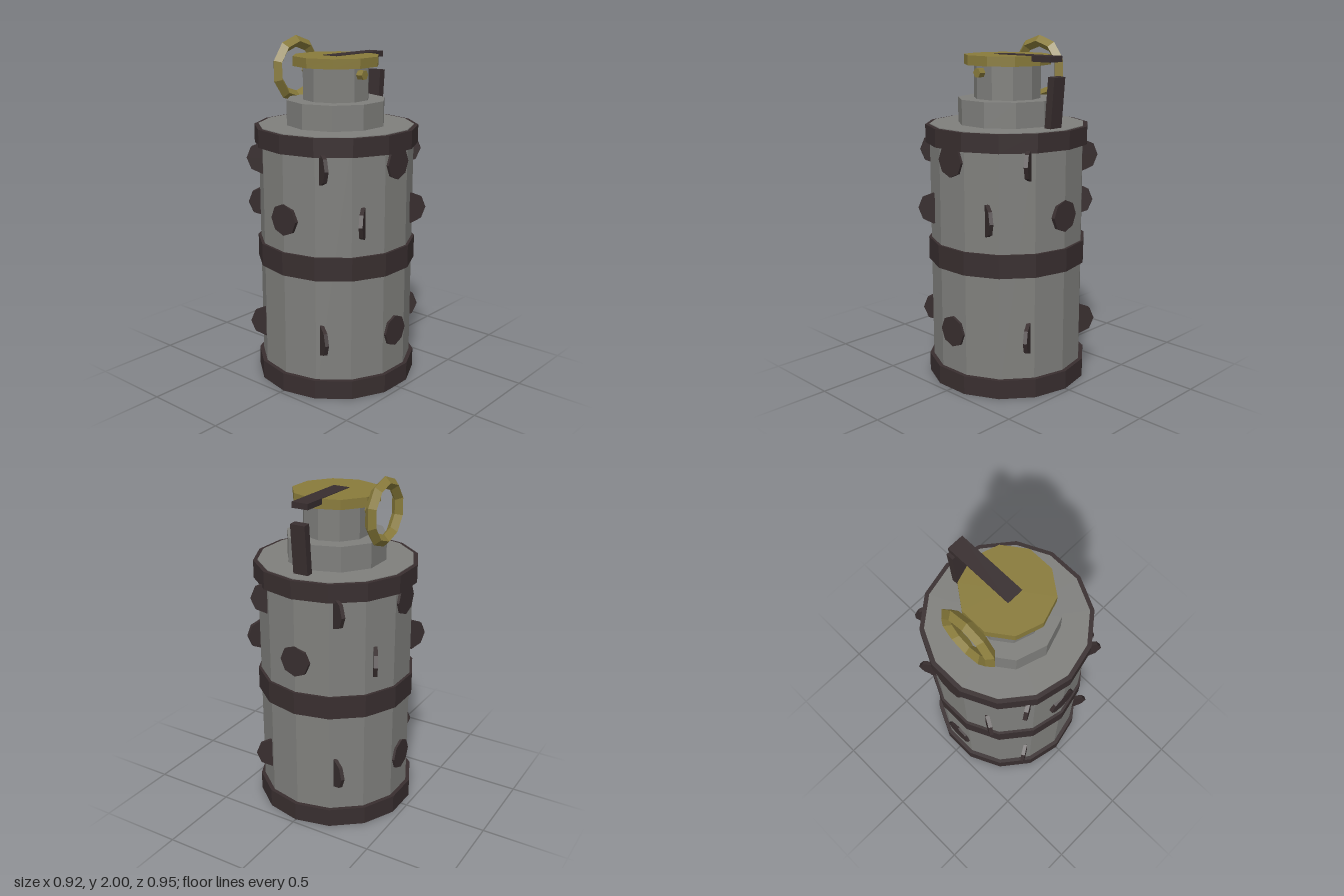
import * as THREE from 'three';

const flat = (name, color) => {
  const m = new THREE.MeshStandardMaterial({ color, flatShading: true });
  m.name = name;
  return m;
};

export function createModel() {
  const model = new THREE.Group();
  model.name = 'canister';
  const grey = flat('greyMetal', 0x7f7f7c);
  const dark = flat('darkMetal', 0x382e2f);
  const gold = flat('brass', 0x897b3b);

  const add = (name, geometry, material, x = 0, y = 0, z = 0) => {
    const mesh = new THREE.Mesh(geometry, material);
    mesh.name = name;
    mesh.position.set(x, y, z);
    model.add(mesh);
    return mesh;
  };
  // Upright prism between two heights
  const drum = (name, radius, y0, y1, sides, material) =>
    add(name, new THREE.CylinderGeometry(radius, radius, y1 - y0, sides), material, 0, (y0 + y1) / 2);

  // Body and its three bands
  drum('body', 0.448, 0.02, 1.512, 14, grey);
  drum('bottomBand', 0.472, 0, 0.11, 14, dark);
  drum('middleBand', 0.464, 0.71, 0.843, 14, dark);
  drum('topBand', 0.473, 1.405, 1.508, 14, dark);

  // Stepped neck and lid
  drum('collar', 0.288, 1.508, 1.655, 10, grey);
  drum('neck', 0.193, 1.65, 1.85, 10, grey);
  drum('lid', 0.25, 1.845, 1.9, 10, gold);

  // Pin through the neck and its pull ring
  add('pin', new THREE.CylinderGeometry(0.028, 0.028, 0.448, 6), gold, 0, 1.805, 0.018).rotation.z = Math.PI / 2;
  add('pullRing', new THREE.TorusGeometry(0.161, 0.034, 4, 10), gold, -0.292, 1.805, 0.018)
    .rotation.set(0, Math.PI / 2, Math.PI / 2);

  // Lever: flat plate on the lid and a leaning strip behind
  add('leverPlate', new THREE.BoxGeometry(0.1, 0.033, 0.425), dark, 0, 1.8865, -0.158);
  add('leverStrip', new THREE.BoxGeometry(0.09, 0.285, 0.045), dark, 0, 1.65, -0.363).rotation.x = -0.08;

  // Three rows of six discs; the diagonal ones stand out like fins
  const disc = new THREE.CylinderGeometry(0.091, 0.091, 0.022, 8).rotateZ(Math.PI / 2);
  [[0.35, 0], [1.03, Math.PI / 6], [1.34, 0]].forEach(([y, offset]) => {
    for (let i = 0; i < 6; i++) {
      const a = offset + (i * Math.PI) / 3;
      add('disc', disc, dark, 0.44 * Math.cos(a), y, 0.44 * Math.sin(a)).rotation.y = a;
    }
  });

  return model;
}
